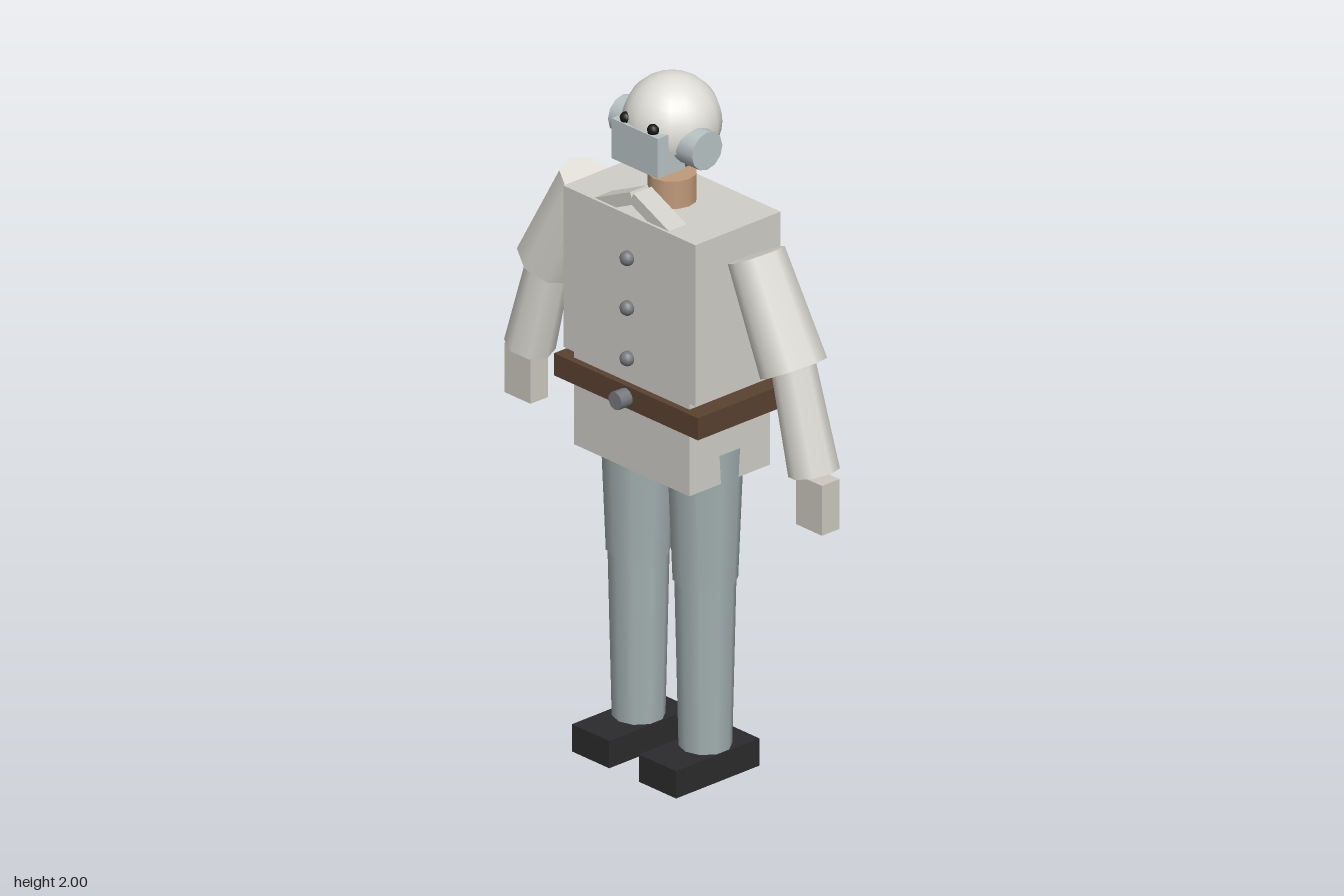
import * as THREE from 'three';

const mat = (color) => new THREE.MeshStandardMaterial({ color });

export function createModel() {
  const model = new THREE.Group();
  model.name = 'figure';
  const Z = -0.02; // depth of the body axis

  const coat = mat(0xd0cec8);
  const sleeve = mat(0xdddbd4);
  const glove = mat(0xcdc9bf);
  const trousers = mat(0xa3b0b0);
  const skin = mat(0xc09a7a);
  const leather = mat(0x5a4230);
  const boot = mat(0x2b2b2d);
  const steel = mat(0xb9c4c5);
  const darkMetal = mat(0x777a7e);
  const black = mat(0x151515);
  const capMat = mat(0xe0ded8);
  capMat.side = THREE.DoubleSide;

  function add(name, geometry, material, x, y, z) {
    const mesh = new THREE.Mesh(geometry, material);
    mesh.name = name;
    mesh.position.set(x, y, z);
    model.add(mesh);
    return mesh;
  }
  const box = (name, w, h, d, material, x, y, z) =>
    add(name, new THREE.BoxGeometry(w, h, d), material, x, y, z);

  // tapered limb running from an upper point to a lower point in the x-y plane
  function limb(name, x1, y1, r1, x2, y2, r2, sides, material) {
    const dx = x1 - x2, dy = y1 - y2;
    const geo = new THREE.CylinderGeometry(r1, r2, Math.hypot(dx, dy), sides);
    const mesh = add(name, geo, material, (x1 + x2) / 2, (y1 + y2) / 2, Z);
    mesh.rotation.z = -Math.atan2(dx, dy);
  }

  // head, cap and neck
  add('head', new THREE.SphereGeometry(0.13, 16, 12), skin, 0, 1.866, Z);
  add('cap', new THREE.SphereGeometry(0.134, 16, 12, 0, Math.PI * 2, 0, Math.PI * 0.61), capMat, 0, 1.866, Z);
  add('neck', new THREE.CylinderGeometry(0.067, 0.067, 0.12, 12), skin, 0, 1.655, Z);
  box('faceMask', 0.18, 0.117, 0.1, steel, 0, 1.825, 0.066);

  // torso, coat skirt and belt
  box('torso', 0.514, 0.473, 0.31, coat, 0, 1.3985, Z);
  box('coatSkirt', 0.45, 0.29, 0.294, coat, 0, 1.03, Z);
  box('belt', 0.56, 0.065, 0.335, leather, 0, 1.107, Z);
  const buckle = add('buckle', new THREE.CylinderGeometry(0.026, 0.026, 0.05, 10), darkMetal, 0, 1.107, 0.162);
  buckle.rotation.x = Math.PI / 2;
  for (const y of [1.512, 1.366, 1.218]) {
    add('button', new THREE.SphereGeometry(0.021, 10, 8), darkMetal, 0, y, 0.143);
  }

  // mirrored parts
  for (const [side, s] of [['left', 1], ['right', -1]]) {
    add(side + 'Eye', new THREE.SphereGeometry(0.017, 10, 8), black, s * 0.053, 1.892, 0.098);

    const ear = add(side + 'EarPiece', new THREE.CylinderGeometry(0.055, 0.055, 0.074, 12), steel, s * 0.127, 1.838, 0.005);
    ear.rotation.z = Math.PI / 2;

    const flap = box(side + 'CollarFlap', 0.155, 0.035, 0.065, coat, s * 0.07, 1.65, 0.094);
    flap.rotation.z = -s * 0.43;

    limb(side + 'UpperArm', s * 0.328, 1.581, 0.08, s * 0.474, 1.298, 0.094, 8, sleeve);
    limb(side + 'Forearm', s * 0.47, 1.315, 0.061, s * 0.553, 1.02, 0.07, 8, sleeve);
    box(side + 'Hand', 0.102, 0.146, 0.064, glove, s * 0.567, 0.94, Z);

    limb(side + 'Thigh', s * 0.13, 0.97, 0.104, s * 0.13, 0.567, 0.088, 10, trousers);
    limb(side + 'Shin', s * 0.13, 0.6, 0.084, s * 0.13, 0.07, 0.072, 10, trousers);
    box(side + 'Boot', 0.145, 0.08, 0.303, boot, s * 0.13, 0.04, 0.003);
  }

  return model;
}
